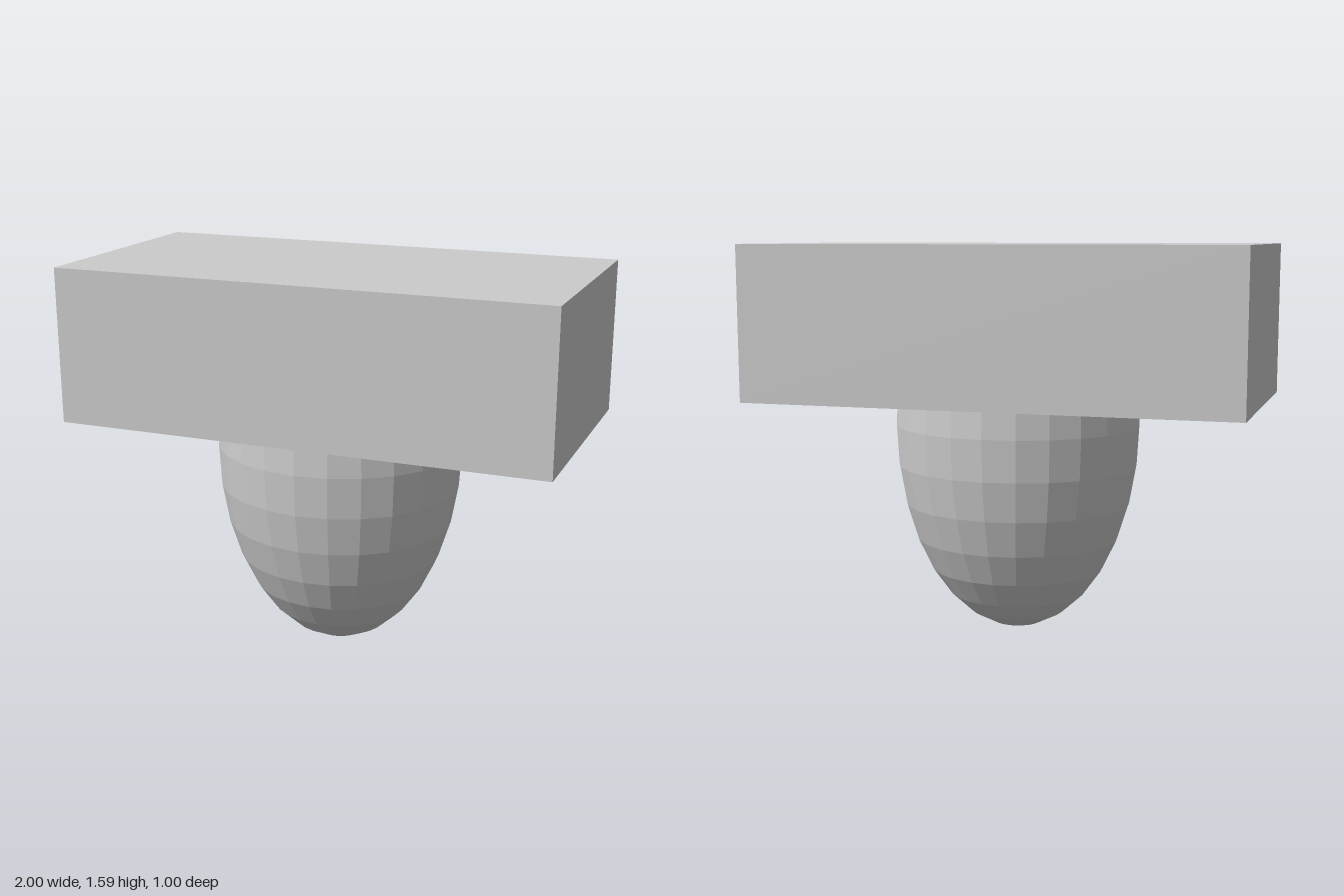
import * as THREE from 'three';

export function createModel() {
  const group = new THREE.Group();
  const material = new THREE.MeshStandardMaterial({ color: 0xcccccc, flatShading: true });

  // Rectangular block on top
  const bottom = 0.96, top = 1.585;
  const block = new THREE.Mesh(new THREE.BoxGeometry(2, top - bottom, 1), material);
  block.name = 'topBlock';
  block.position.y = (top + bottom) / 2;
  group.add(block);

  // Faceted half-ellipsoid below, running slightly into the block
  const height = 0.85, rings = 16;
  const profile = [];
  for (let i = 0; i <= 9; i++) {
    const a = (i / rings) * Math.PI;
    profile.push(new THREE.Vector2(Math.sin(a), height * (1 - Math.cos(a))));
  }
  profile.push(new THREE.Vector2(0, profile[9].y)); // flat cap
  const dome = new THREE.Mesh(new THREE.LatheGeometry(profile, 24), material);
  dome.name = 'roundedBase';
  dome.scale.set(0.503, 1, 0.476);
  dome.position.z = 0.005;
  group.add(dome);

  return group;
}
